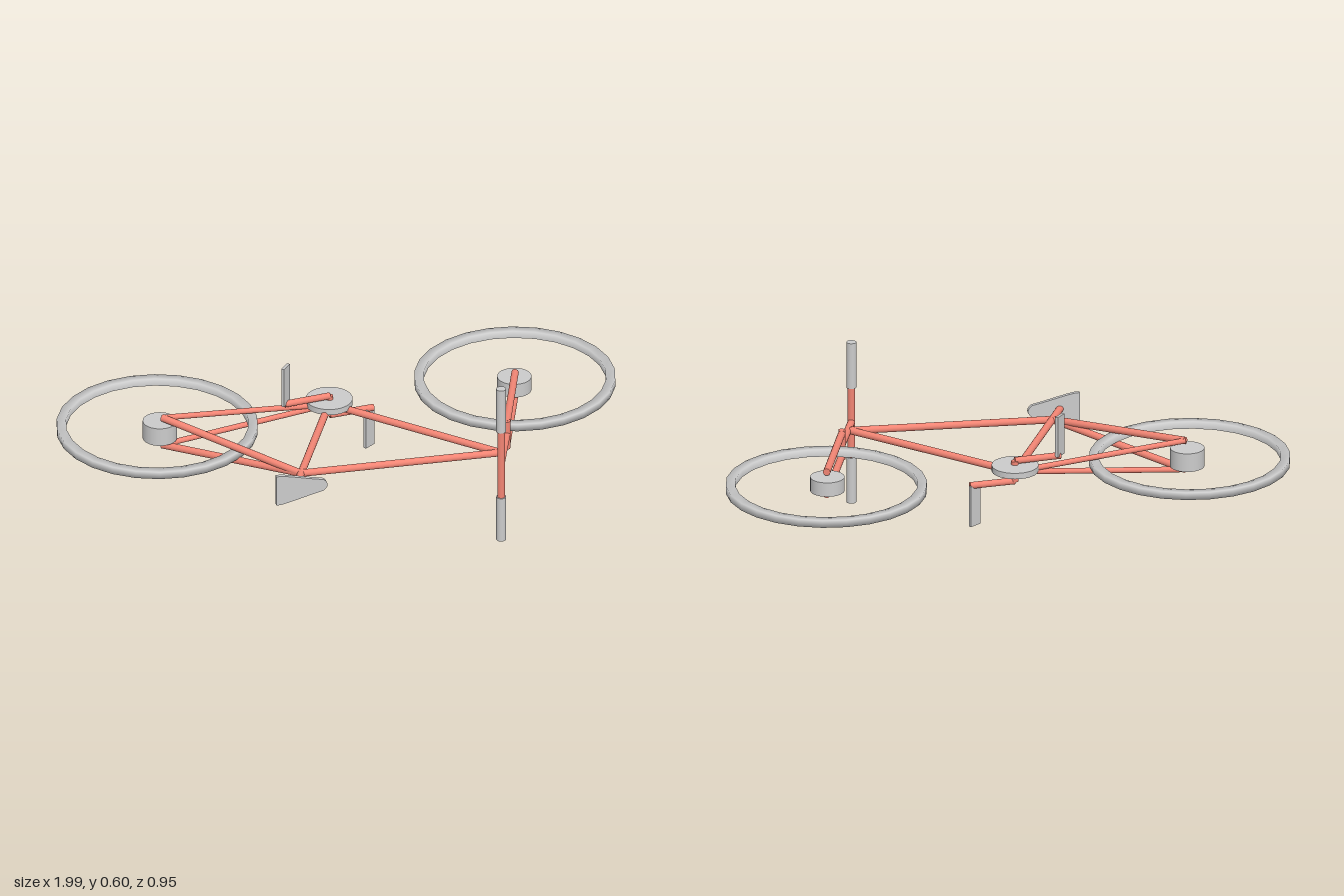
import * as THREE from 'three';

const MID = 0.3; // height of the bicycle's centre plane, as it lies on its side
const grey = new THREE.MeshStandardMaterial({ color: 0xcccccc });
const red = new THREE.MeshStandardMaterial({ color: 0xf28574 });

// Point given by x, sideways offset from the centre plane, and z
const P = (x, off, z) => new THREE.Vector3(x, MID + off, z);

export function createModel() {
  const group = new THREE.Group();

  const add = (name, geometry, material, position) => {
    const mesh = new THREE.Mesh(geometry, material);
    mesh.name = name;
    mesh.position.copy(position);
    group.add(mesh);
    return mesh;
  };

  // Round bar between two points
  const bar = (name, a, b, radius = 0.013, material = red) => {
    const dir = b.clone().sub(a);
    const mesh = add(name, new THREE.CylinderGeometry(radius, radius, dir.length(), 16), material,
      a.clone().add(b).multiplyScalar(0.5));
    mesh.quaternion.setFromUnitVectors(new THREE.Vector3(0, 1, 0), dir.normalize());
    return mesh;
  };

  // Wheels: plain hoops of rectangular section, lying flat
  const section = [[0.319, -0.0135], [0.352, -0.0135], [0.352, 0.0135], [0.319, 0.0135], [0.319, -0.0135]]
    .map(([r, y]) => new THREE.Vector2(r, y));
  for (const [name, x] of [['rearWheel', -0.648], ['frontWheel', 0.645]]) {
    add(name, new THREE.LatheGeometry(section, 26), grey, P(x, -0.001, -0.121));
  }

  // Hubs and chainring; the chainring sits on the upper side
  const disc = (name, r, h, pos) => add(name, new THREE.CylinderGeometry(r, r, h, 32), grey, pos);
  disc('rearHub', 0.06, 0.068, P(-0.644, 0, -0.1));
  disc('frontHub', 0.06, 0.052, P(0.636, 0, -0.094));
  disc('chainring', 0.082, 0.022, P(-0.028, 0.014, -0.114));

  // Main frame
  const bracket = P(-0.028, 0, -0.116);
  const seatJoint = P(-0.254, 0, 0.335);
  const headJoint = P(0.457, 0, 0.377);
  bar('seatTube', bracket, P(-0.3, 0, 0.43));
  bar('topTube', seatJoint, headJoint);
  bar('downTube', bracket, headJoint);
  bar('crankAxle', P(-0.028, -0.038, -0.11), P(-0.028, 0.038, -0.11));

  // Fork: steerer, crown and two legs
  const crown = (off) => P(0.512, off, 0.256);
  bar('steerer', P(0.437, 0, 0.456), crown(0));
  bar('forkCrown', crown(-0.054), crown(0.054));

  // Paired parts on both sides of the centre plane
  for (const s of [1, -1]) {
    const dropout = P(-0.64, s * 0.054, -0.083);
    bar('seatStay', dropout, seatJoint);
    bar('chainStay', dropout, bracket, 0.01);
    bar('forkLeg', crown(s * 0.042), P(0.638, s * 0.042, -0.092));
    bar('grip', P(0.437, s * 0.13, 0.456), P(0.437, s * 0.3, 0.456), 0.0175, grey);

    // Cranks point opposite ways, each with a tilted flat pedal
    const endX = s > 0 ? -0.194 : 0.134;
    const endZ = s > 0 ? -0.092 : -0.12;
    bar('crank', P(-0.028, s * 0.038, -0.108), P(endX, s * 0.038, endZ), 0.012);
    const pedal = add('pedal', new THREE.BoxGeometry(0.046, 0.15, 0.011), grey,
      P(s > 0 ? -0.192 : 0.117, s * 0.113, s > 0 ? -0.091 : -0.118));
    pedal.rotation.y = s > 0 ? 0.85 : 0.6;
  }
  bar('handlebar', P(0.437, -0.15, 0.456), P(0.437, 0.15, 0.456), 0.0135);

  // Saddle: wide rear tapering to a narrow nose
  const shape = new THREE.Shape();
  shape.moveTo(-0.37, -0.057);
  shape.lineTo(-0.355, -0.057);
  shape.bezierCurveTo(-0.31, -0.05, -0.26, -0.034, -0.2, -0.022);
  shape.quadraticCurveTo(-0.17, 0, -0.2, 0.022);
  shape.bezierCurveTo(-0.26, 0.034, -0.31, 0.05, -0.355, 0.057);
  shape.lineTo(-0.37, 0.057);
  shape.closePath();
  const saddle = new THREE.ExtrudeGeometry(shape, { depth: 0.014, bevelEnabled: false, curveSegments: 10 });
  add('saddle', saddle, grey, P(0, 0, 0.424));

  return group;
}
